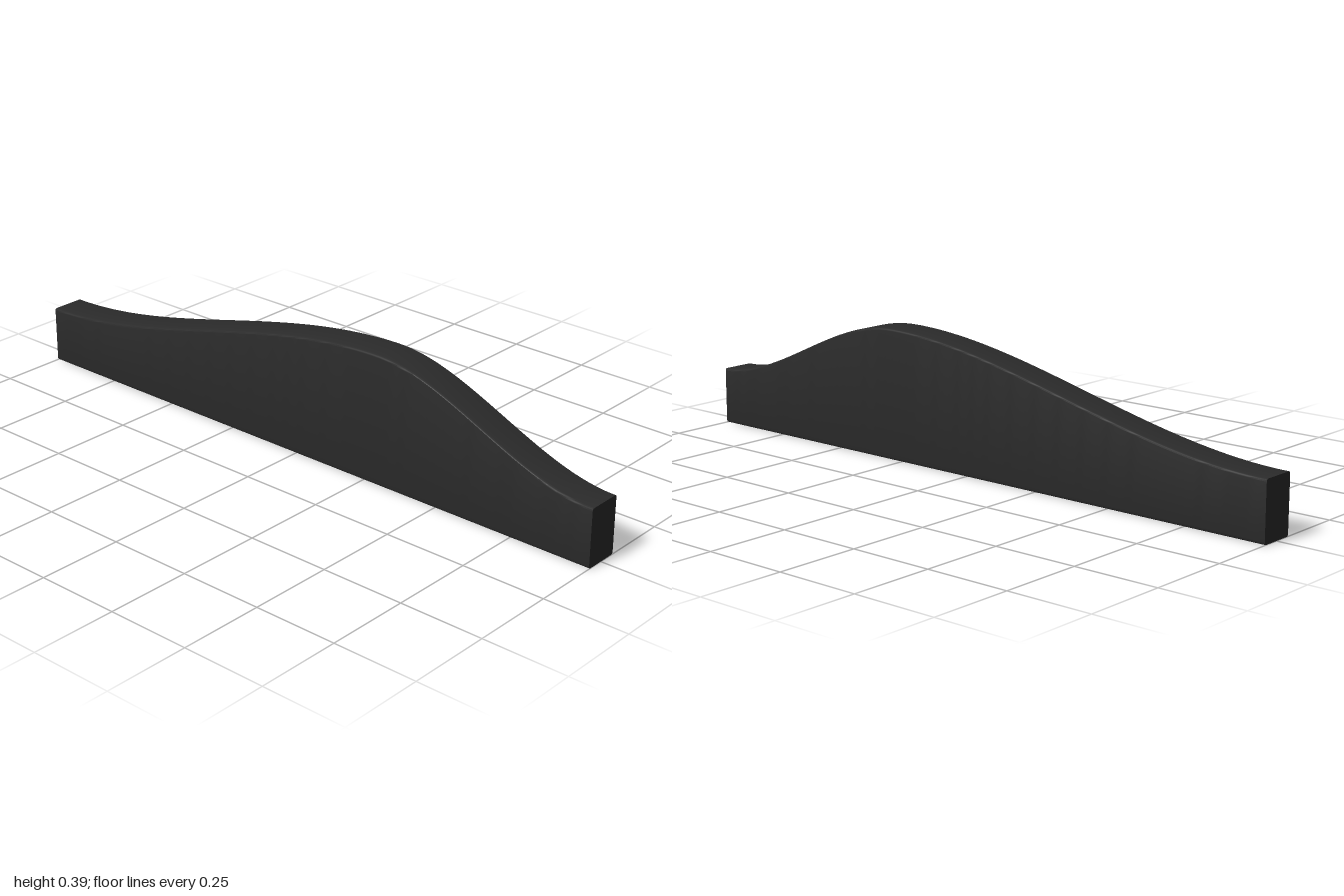
import * as THREE from 'three';
import { toCreasedNormals } from 'three/addons/utils/BufferGeometryUtils.js';

const HALF_DEPTH = 0.053, END_HEIGHT = 0.172, RISE = 0.215, PEAK_X = 0.29, EDGE = 0.007;

// Rise of the top edge above the end height: one smooth hump, off centre
function hump(x) {
  const t = x < PEAK_X ? (x + 1) / (PEAK_X + 1) : (1 - x) / (1 - PEAK_X);
  return RISE * t * t * (3 - 2 * t);
}

// Upright rectangle with small rounded corners
function sectionShape() {
  const w = HALF_DEPTH, h = END_HEIGHT, r = EDGE;
  const s = new THREE.Shape();
  s.moveTo(-w + r, 0);
  s.lineTo(w - r, 0);
  s.quadraticCurveTo(w, 0, w, r);
  s.lineTo(w, h - r);
  s.quadraticCurveTo(w, h, w - r, h);
  s.lineTo(-w + r, h);
  s.quadraticCurveTo(-w, h, -w, h - r);
  s.lineTo(-w, r);
  s.quadraticCurveTo(-w, 0, -w + r, 0);
  return s;
}

export function createModel() {
  const group = new THREE.Group();
  group.name = 'curvedBar';

  const charcoal = new THREE.MeshStandardMaterial({ color: 0x2b2b2b });
  charcoal.name = 'charcoal';

  // Run the section along x, then lift its upper half along the hump
  let geometry = new THREE.ExtrudeGeometry(sectionShape(), {
    depth: 2, steps: 72, curveSegments: 3, bevelEnabled: false,
  });
  geometry.translate(0, 0, -1);
  geometry.rotateY(Math.PI / 2);
  const p = geometry.attributes.position;
  for (let i = 0; i < p.count; i++) {
    if (p.getY(i) > END_HEIGHT / 2) p.setY(i, p.getY(i) + hump(p.getX(i)));
  }
  geometry = toCreasedNormals(geometry, 0.6);
  geometry.clearGroups();

  const body = new THREE.Mesh(geometry, charcoal);
  body.name = 'body';
  group.add(body);
  return group;
}
